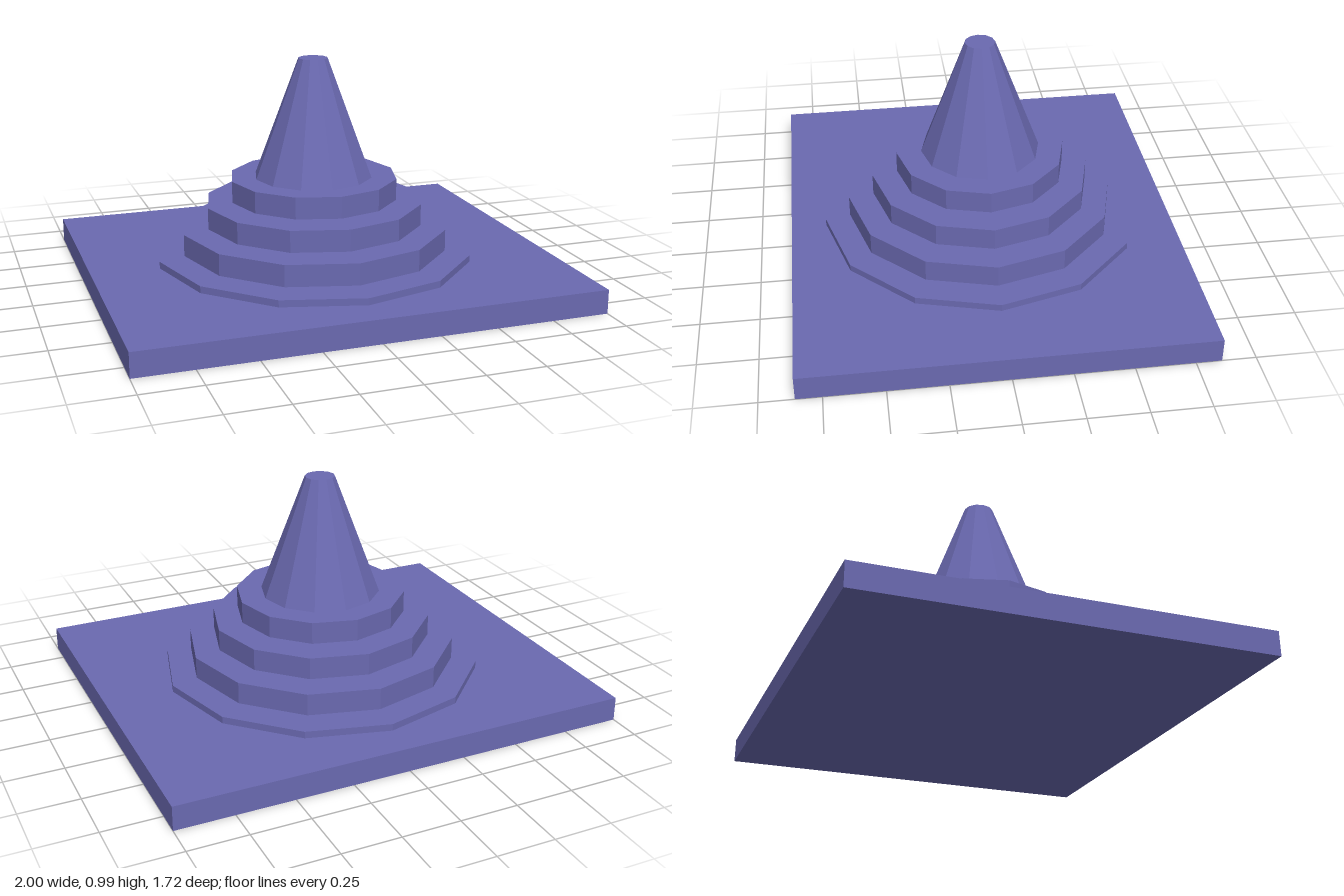
import * as THREE from 'three';

const SIDES = 12;

export function createModel() {
  const model = new THREE.Group();
  model.name = 'steppedMonument';

  const violet = new THREE.MeshStandardMaterial({ color: 0x6a69b0 });
  violet.name = 'violet';
  violet.flatShading = true;

  // Adds a part standing on the given height
  const add = (name, geometry, height, bottom) => {
    const mesh = new THREE.Mesh(geometry, violet);
    mesh.name = name;
    mesh.position.y = bottom + height / 2;
    model.add(mesh);
  };

  // Rectangular ground slab
  add('baseSlab', new THREE.BoxGeometry(2, 0.105, 1.715), 0.105, 0);

  // Four shrinking twelve-sided tiers with thin gaps between; the lowest is sunk in the slab
  const tierHeight = 0.095;
  for (let i = 0; i < 4; i++) {
    const radius = 0.702 - i * 0.11;
    add(`tier${i + 1}`, new THREE.CylinderGeometry(radius, radius, tierHeight, SIDES), tierHeight, 0.04 + i * 0.11);
  }

  // Tapered spire with a flat top
  add('spire', new THREE.CylinderGeometry(0.065, 0.262, 0.525, SIDES), 0.525, 0.465);

  return model;
}
